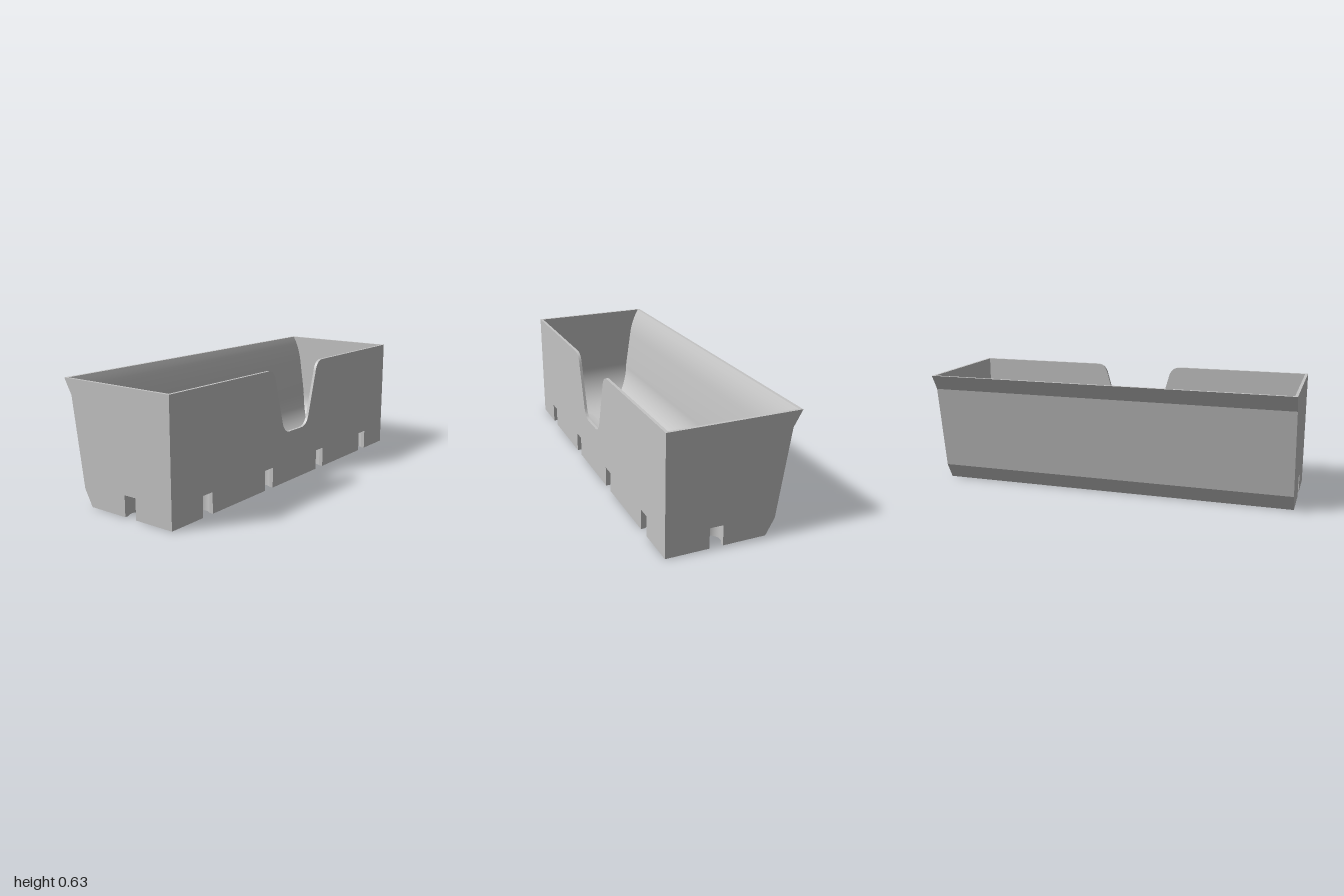
import * as THREE from 'three';
import { toCreasedNormals } from 'three/addons/utils/BufferGeometryUtils.js';

const H = 0.633, XR = 0.347, XI = 0.332, ZI = 0.985; // height, right wall outside/inside, end wall inside
const FLOOR = 0.015, R = 0.24, XL = -0.243;          // inner floor, its wide fillet, left start of the fillet
const SLOT = 0.036, SLOT_TOP = 0.11, END_X = 0.082;  // drain pockets

export function createModel() {
  const group = new THREE.Group();
  const grey = new THREE.MeshStandardMaterial({ color: 0xc4c4c4, side: THREE.DoubleSide });
  grey.name = 'grey plastic';

  const add = (name, geometry) => {
    const mesh = new THREE.Mesh(geometry, grey);
    mesh.name = name;
    group.add(mesh);
  };

  // flat face from a 2D outline, placed in space by a rule
  const face = (name, pts, place) => {
    const g = new THREE.ShapeGeometry(new THREE.Shape(pts.map(([a, b]) => new THREE.Vector2(a, b))));
    const p = g.attributes.position;
    for (let i = 0; i < p.count; i++) p.setXYZ(i, ...place(p.getX(i), p.getY(i)));
    g.computeVertexNormals();
    add(name, g);
  };

  // band of quads between two matching paths
  const strip = (name, a, b) => {
    const index = [];
    for (let i = 0; i < a.length - 1; i++) {
      const j = i + a.length;
      index.push(i, j, i + 1, i + 1, j, j + 1);
    }
    const g = new THREE.BufferGeometry();
    g.setAttribute('position', new THREE.Float32BufferAttribute([...a, ...b].flat(), 3));
    g.setIndex(index);
    add(name, toCreasedNormals(g, 0.32));
  };

  // scoop opening in the right wall, as (z, y)
  const scoop = new THREE.Path();
  scoop.moveTo(-0.26, H);
  scoop.bezierCurveTo(-0.22, H, -0.2, 0.61, -0.19, 0.565);
  scoop.lineTo(-0.125, 0.335);
  scoop.bezierCurveTo(-0.115, 0.3, -0.09, 0.278, -0.06, 0.278);
  scoop.lineTo(0.06, 0.278);
  scoop.bezierCurveTo(0.09, 0.278, 0.115, 0.3, 0.125, 0.335);
  scoop.lineTo(0.19, 0.565);
  scoop.bezierCurveTo(0.2, 0.61, 0.22, H, 0.26, H);
  const notch = scoop.getPoints(10).map((p) => [p.x, p.y]);
  const notchBack = [...notch].reverse();

  // keyhole pocket outline: s along the wall, d inwards
  const r = 0.05, neck = Math.asin(SLOT / r);
  const keyhole = [[-SLOT, 0]];
  for (let i = 0; i <= 24; i++) {
    const t = -neck - (i / 24) * 2 * (Math.PI - neck);
    keyhole.push([r * Math.sin(t), 0.056 - r * Math.cos(t)]);
  }
  keyhole.push([SLOT, 0]);
  const pocketZ = [-0.747, -0.249, 0.249, 0.747];
  const pockets = [
    ...pocketZ.map((z) => (s, d, y) => [XR - d, y, z + s]),
    ...[-1, 1].map((e) => (s, d, y) => [END_X + s, y, e * (1 - d)]),
  ];
  const ceiling = (d) => SLOT_TOP - 0.52 * d;
  for (const at of pockets) {
    strip('pocketWall', keyhole.map(([s, d]) => at(s, d, 0)), keyhole.map(([s, d]) => at(s, d, ceiling(d))));
    face('pocketCeiling', keyhole, (s, d) => at(s, d, ceiling(d)));
  }

  // underside with the pocket mouths cut from its edge
  const mouth = (at) => keyhole.map(([s, d]) => { const p = at(s, d, 0); return [p[0], p[2]]; });
  face('underside', [
    [-0.185, -1], ...mouth(pockets[4]), [XR, -1],
    ...pockets.slice(0, 4).flatMap(mouth),
    [XR, 1], ...mouth(pockets[5]).reverse(), [-0.185, 1],
  ], (x, z) => [x, 0, z]);

  // outer walls
  const slot = (c) => [[c - SLOT, 0], [c - SLOT, SLOT_TOP], [c + SLOT, SLOT_TOP], [c + SLOT, 0]];
  const leftProfile = [[-0.348, H], [-0.301, 0.55], [-0.233, 0.087], [-0.185, 0]];
  const endOutline = [...leftProfile, ...slot(END_X), [XR, 0], [XR, H]];
  face('frontWall', endOutline, (x, y) => [x, y, 1]);
  face('backWall', endOutline.map(([x, y]) => [-x, y]), (x, y) => [-x, y, -1]);
  const sideOutline = [[-1, 0], ...pocketZ.flatMap(slot), [1, 0], [1, H], ...notchBack, [-1, H]];
  face('rightWall', sideOutline.map(([z, y]) => [-z, y]), (z, y) => [XR, y, -z]);
  const leftAt = (z) => leftProfile.map(([x, y]) => [x, y, z]);
  strip('leftWall', leftAt(-1), leftAt(1));

  // inner rectangles from the rim down to the floor: y, left, right, half length
  const lip = new THREE.QuadraticBezierCurve(
    new THREE.Vector2(-0.322, 0.615), new THREE.Vector2(-0.286, 0.55), new THREE.Vector2(-0.275, 0.47));
  const rows = [[H, -0.332, XI, ZI], ...lip.getPoints(5).map((p) => [p.y, p.x, XI, ZI])];
  const filletStart = rows.length;
  for (let i = 0; i <= 16; i++) {
    const t = (i / 16) * Math.PI / 2, c = R * (1 - Math.cos(t));
    rows.push([FLOOR + R * (1 - Math.sin(t)), XL + c, XI - c, ZI - c]);
  }
  const corner = (right, sign, list = rows) =>
    list.map(([y, xl, xr, z]) => [right ? xr : xl, y, sign * z]);
  strip('innerLeftWall', corner(false, 1), corner(false, -1));
  strip('innerFrontWall', corner(true, 1), corner(false, 1));
  strip('innerBackWall', corner(false, -1), corner(true, -1));
  const low = rows.slice(filletStart);
  strip('innerRightFillet', corner(true, -1, low), corner(true, 1, low));
  face('innerRightWall', [[-ZI, FLOOR + R], [ZI, FLOOR + R], [ZI, H], ...notchBack, [-ZI, H]],
    (z, y) => [XI, y, z]);
  const fz = ZI - R, fl = XL + R, fr = XI - R;
  face('innerFloor', [[-fz, fl], [fz, fl], [fz, fr], [-fz, fr]], (z, x) => [x, FLOOR, z]);

  // rim, open at the scoop, and the scoop edge
  face('rim', [
    [0.26, XR], [1, XR], [1, -0.348], [-1, -0.348], [-1, XR], [-0.26, XR],
    [-0.26, XI], [-ZI, XI], [-ZI, -0.332], [ZI, -0.332], [ZI, XI], [0.26, XI],
  ], (z, x) => [x, H, z]);
  strip('scoopEdge', notch.map(([z, y]) => [XI, y, z]), notch.map(([z, y]) => [XR, y, z]));

  return group;
}
